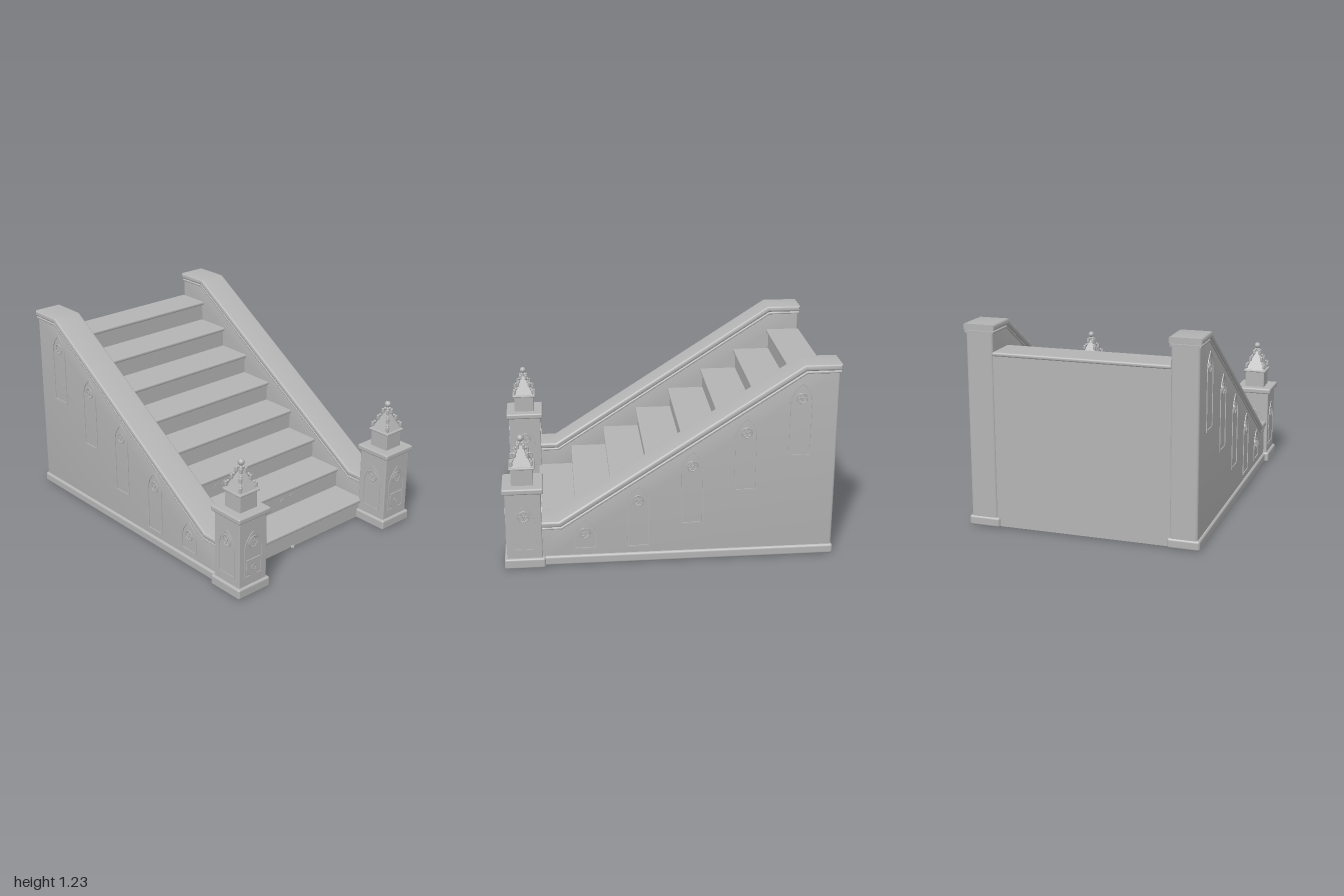
import * as THREE from 'three';
import { toCreasedNormals } from 'three/addons/utils/BufferGeometryUtils.js';
import { RoundedBoxGeometry } from 'three/addons/geometries/RoundedBoxGeometry.js';

const stone = new THREE.MeshStandardMaterial({ color: 0xb4b4b4 });
stone.name = 'grey stone';

const SIDE_X = 0.613, POST_Z = 0.878;

function add(parent, name, geometry, x = 0, y = 0, z = 0) {
  const mesh = new THREE.Mesh(geometry, stone);
  mesh.name = name;
  mesh.position.set(x, y, z);
  parent.add(mesh);
  return mesh;
}

// Box with softened edges, given by its bottom height
function slab(parent, name, w, h, d, x, y, z, r = 0.008) {
  return add(parent, name, new RoundedBoxGeometry(w, h, d, 3, r), x, y + h / 2, z);
}

// Extrudes a (z, y) outline along x, centred, with rounded edges
function sideExtrude(points, width, bevel) {
  const shape = new THREE.Shape(points.map(([z, y]) => new THREE.Vector2(z, y)));
  const g = new THREE.ExtrudeGeometry(shape, {
    depth: width - 2 * bevel, bevelEnabled: bevel > 0, bevelSize: bevel,
    bevelThickness: bevel, bevelOffset: -bevel, bevelSegments: 4,
  });
  g.translate(0, 0, -(width - 2 * bevel) / 2);
  g.rotateY(-Math.PI / 2);
  return toCreasedNormals(g, 0.6);
}

// Pointed arch outline standing on y = 0
function lancet(w, h, inset, Type) {
  const a = w / 2 - inset, top = h - inset * 1.5, spring = h - 0.115;
  const s = new Type();
  s.moveTo(-a, inset);
  s.lineTo(a, inset);
  s.lineTo(a, spring);
  s.quadraticCurveTo(a * 0.92, spring + (top - spring) * 0.6, 0, top);
  s.quadraticCurveTo(-a * 0.92, spring + (top - spring) * 0.6, -a, spring);
  s.lineTo(-a, inset);
  return s;
}

// Lancet tracery facing +z: raised frame, ring and three small circles
function tracery(w, h, ring, drop) {
  const g = new THREE.Group();
  g.name = 'lancetWindow';
  const frame = lancet(w, h, 0, THREE.Shape);
  frame.holes.push(lancet(w, h, 0.009, THREE.Path));
  add(g, 'windowFrame', new THREE.ExtrudeGeometry(frame, { depth: 0.005, bevelEnabled: false, curveSegments: 10 }));
  add(g, 'windowRing', new THREE.TorusGeometry(ring, 0.0035, 6, 24), 0, h - drop, 0.001);
  for (let i = 0; i < 3; i++) {
    const t = Math.PI / 2 + i * Math.PI * 2 / 3;
    add(g, 'trefoilLobe', new THREE.TorusGeometry(ring * 0.4, 0.0025, 6, 14),
      Math.cos(t) * ring * 0.48, h - drop + Math.sin(t) * ring * 0.48, 0.001);
  }
  return g;
}

// Path of the coping's top edge, lowered by d
const slope = (1.225 - 0.29) / (0.67 + 0.78);
const copingLine = (d, back = -1) => {
  const k = d * (Math.sqrt(1 + slope * slope) - 1) / slope;
  return [[0.79, 0.29 - d], [0.67 - k, 0.29 - d], [-0.78 - k, 1.225 - d], [back, 1.225 - d]];
};
const band = (d0, d1, back) => [...copingLine(d0, back), ...copingLine(d1, back).reverse()];

function parapet(side) {
  const g = new THREE.Group();
  g.name = side > 0 ? 'leftParapet' : 'rightParapet';
  const x = side * SIDE_X;
  add(g, 'wall', sideExtrude([[0.8, 0.005], ...copingLine(0.04, -0.993), [-0.993, 0.005]], 0.166, 0.016), x);
  add(g, 'coping', sideExtrude(band(0, 0.036), 0.194, 0.012), x);
  add(g, 'copingMoulding', sideExtrude(band(0.04, 0.054, -0.997), 0.18, 0.005), x);
  slab(g, 'plinth', 0.194, 0.062, 1.8, x, 0, -0.1, 0.015);
  // Window row climbing with the slope
  const rows = [[0.515, 0.1, 0.2], [0.195, 0.1, 0.4], [-0.13, 0.24, 0.47], [-0.45, 0.445, 0.465], [-0.77, 0.655, 0.46]];
  for (const [z, y, h] of rows) {
    const win = tracery(0.135, h, 0.031, 0.095);
    if (h < 0.3) win.children[0].name = 'lowWindowFrame';
    win.position.set(side * (SIDE_X + 0.083), y, z);
    win.rotation.y = side * Math.PI / 2;
    g.add(win);
  }
  return g;
}

function newel(side) {
  const g = new THREE.Group();
  g.name = side > 0 ? 'leftNewelPost' : 'rightNewelPost';
  g.position.set(side * SIDE_X, 0, POST_Z);
  slab(g, 'postBase', 0.244, 0.065, 0.244, 0, 0, 0, 0.012);
  slab(g, 'postShaft', 0.212, 0.45, 0.212, 0, 0.05, 0, 0.006);
  slab(g, 'postCap', 0.244, 0.036, 0.244, 0, 0.486, 0, 0.01);
  slab(g, 'pinnacleBlock', 0.13, 0.12, 0.13, 0, 0.515, 0, 0.004);
  slab(g, 'pinnacleBand', 0.152, 0.013, 0.152, 0, 0.625, 0, 0.005);

  // Lancet panel on every face of the shaft
  for (let i = 0; i < 4; i++) {
    const holder = new THREE.Group();
    holder.name = 'shaftPanel';
    holder.rotation.y = i * Math.PI / 2;
    const win = tracery(0.14, 0.295, 0.034, 0.072);
    win.position.set(0, 0.115, 0.105);
    holder.add(win);
    g.add(holder);
  }

  // Plain shield below the front ring
  const s = new THREE.Shape();
  s.moveTo(-0.052, 0.23);
  s.lineTo(-0.052, 0.165);
  s.lineTo(-0.038, 0.16);
  s.quadraticCurveTo(-0.034, 0.125, 0, 0.108);
  s.quadraticCurveTo(0.034, 0.125, 0.038, 0.16);
  s.lineTo(0.052, 0.165);
  s.lineTo(0.052, 0.23);
  add(g, 'shield', new THREE.ExtrudeGeometry(s, { depth: 0.006, bevelEnabled: false }), 0, 0, 0.106);
  add(g, 'shieldBoss', new THREE.TorusGeometry(0.016, 0.003, 6, 18), 0, 0.175, 0.112);

  // Four-sided spire with crockets on its corners and a ball finial
  const spire = new THREE.ConeGeometry(0.062 * Math.SQRT2, 0.135, 4, 1).toNonIndexed();
  spire.rotateY(Math.PI / 4);
  spire.computeVertexNormals();
  add(g, 'spire', spire, 0, 0.705, 0);
  for (const [r, y] of [[0.06, 0.665], [0.038, 0.71], [0.018, 0.755]])
    for (const sx of [-1, 1])
      for (const sz of [-1, 1]) {
        add(g, 'crocket', new RoundedBoxGeometry(0.018, 0.032, 0.018, 2, 0.005), sx * r, y, sz * r);
        add(g, 'crocketBud', new THREE.SphereGeometry(0.009, 8, 6), sx * (r - 0.008), y + 0.017, sz * (r - 0.008));
      }
  add(g, 'finialNeck', new THREE.CylinderGeometry(0.007, 0.011, 0.03, 10), 0, 0.772, 0);
  add(g, 'finialBall', new THREE.SphereGeometry(0.02, 16, 12), 0, 0.8, 0);
  return g;
}

function stairs() {
  const g = new THREE.Group();
  g.name = 'stairs';
  const n = 8, run = 0.2235, rise = 0.1333, firstTop = 0.134, front = 0.79;
  const outline = [[-0.985, 0.008]];
  outline.push([front - 0.016, 0.008]);
  for (let i = 0; i < n; i++) {
    const z = front - 0.016 - i * run, y = firstTop + i * rise - 0.012;
    outline.push([z, y], [i < n - 1 ? z - run : -0.985, y]);
  }
  add(g, 'stairBody', sideExtrude(outline, 1.08, 0));
  // Treads with rounded nosing
  for (let i = 0; i < n; i++) {
    const z0 = front - i * run, z1 = i < n - 1 ? z0 - run - 0.03 : -0.998;
    slab(g, 'tread', 1.07, 0.024, z0 - z1, 0, firstTop + i * rise - 0.024, (z0 + z1) / 2, 0.01);
  }
  // Fine cracks across two risers
  const cracks = [
    [2, [[-0.36, 0.325], [-0.31, 0.345], [-0.27, 0.335], [-0.24, 0.36], [-0.2, 0.355]]],
    [1, [[0.02, 0.195], [0.06, 0.21], [0.09, 0.205], [0.14, 0.228]]],
  ];
  for (const [i, pts] of cracks) {
    const z = front - 0.016 - i * run;
    const path = new THREE.CatmullRomCurve3(pts.map(([x, y]) => new THREE.Vector3(x, y, z)));
    add(g, 'crack', new THREE.TubeGeometry(path, 16, 0.0015, 5));
  }
  // Stone chip at the foot
  add(g, 'chip', new THREE.DodecahedronGeometry(0.012), -0.09, 0.012, 0.782);
  return g;
}

export function createModel() {
  const model = new THREE.Group();
  model.name = 'stoneStaircase';
  model.add(stairs());
  for (const side of [-1, 1]) model.add(parapet(side), newel(side));
  return model;
}
